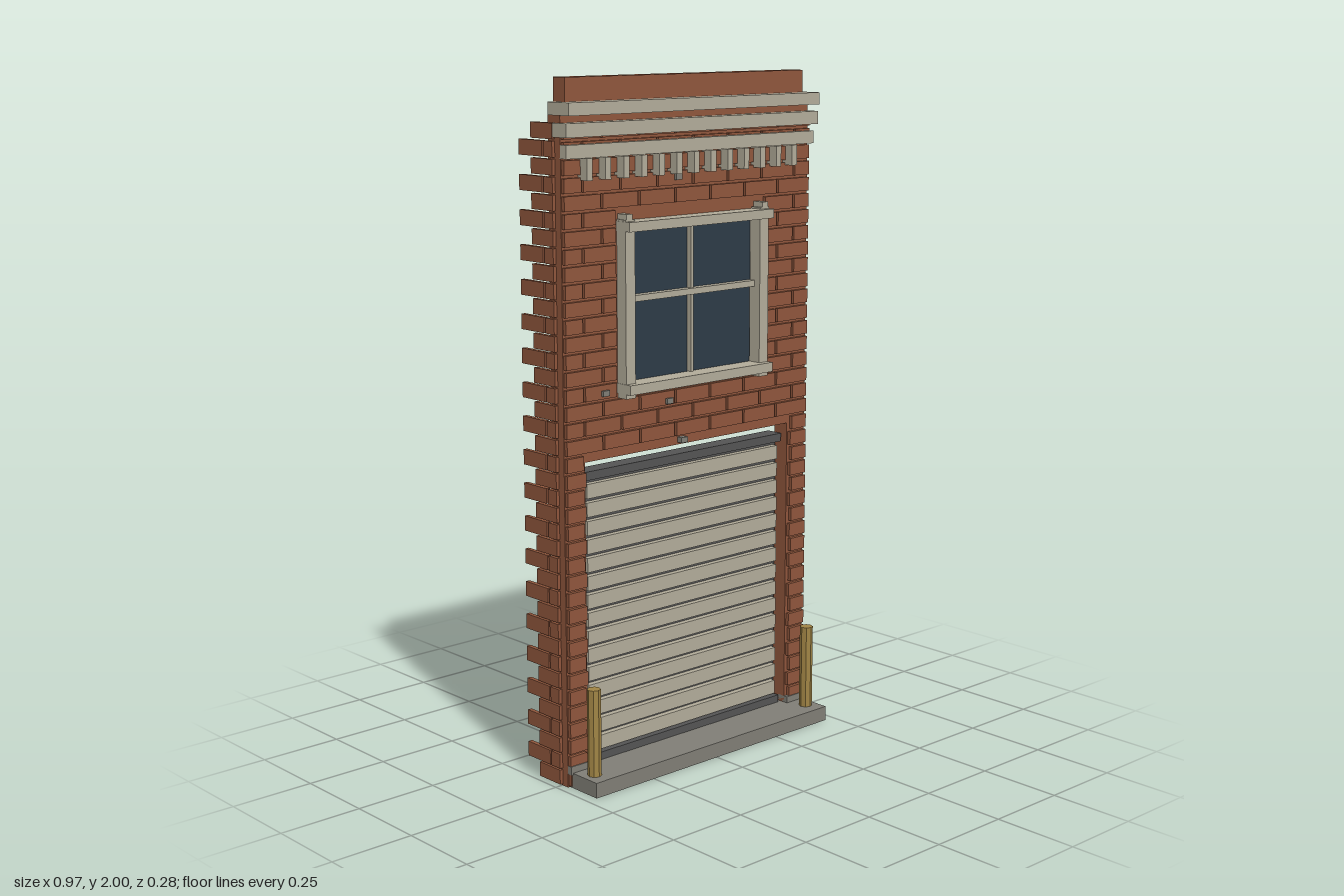
import * as THREE from 'three';
import { mergeGeometries } from 'three/addons/utils/BufferGeometryUtils.js';

const mat = (name, color) => {
  const m = new THREE.MeshStandardMaterial({ color });
  m.name = name;
  return m;
};

export function createModel() {
  const brick = mat('brick', 0x8f563c);
  const trim = mat('trim', 0xb2ac9a);
  const stone = mat('stone', 0x807e76);
  const steel = mat('steel', 0x545454);
  const glass = mat('glass', 0x2d3b47);
  const black = mat('black', 0x1c1c1c);
  const brass = mat('brass', 0xa08445);

  const model = new THREE.Group();
  model.name = 'shopFacade';

  // Box given by its two opposite corners
  const block = (x0, x1, y0, y1, z0, z1) =>
    new THREE.BoxGeometry(x1 - x0, y1 - y0, z1 - z0)
      .translate((x0 + x1) / 2, (y0 + y1) / 2, (z0 + z1) / 2);
  const add = (name, geometry, material) => {
    const mesh = new THREE.Mesh(geometry, material);
    mesh.name = name;
    model.add(mesh);
  };
  const box = (name, material, ...b) => add(name, block(...b), material);

  // Wall with door opening and window hole
  const outline = new THREE.Shape([
    [-0.475, 0], [-0.4, 0], [-0.4, 0.94], [0.4, 0.94],
    [0.4, 0], [0.475, 0], [0.475, 1.9], [-0.475, 1.9],
  ].map(([x, y]) => new THREE.Vector2(x, y)));
  outline.holes.push(new THREE.Path([
    [-0.25, 1.14], [-0.25, 1.59], [0.25, 1.59], [0.25, 1.14],
  ].map(([x, y]) => new THREE.Vector2(x, y))));
  add('wall', new THREE.ExtrudeGeometry(outline, { depth: 0.052, bevelEnabled: false })
    .translate(0, 0, -0.027), brick);
  box('parapet', brick, -0.455, 0.455, 1.88, 2, -0.027, 0.022);

  // Running bond on the front, cut around the door and window
  const pitch = 0.0482, rows = 39, joint = 0.008;
  const faceBricks = [], sideBricks = [];
  for (let i = 0; i < rows; i++) {
    const y0 = 0.005 + i * pitch, y1 = y0 + pitch - joint;
    let spans = [[-0.472, 0.472]];
    if (y0 < 0.94) spans = [[-0.472, -0.405], [0.405, 0.472]];
    else if (y1 > 1.11 && y0 < 1.61) spans = [[-0.472, -0.29], [0.29, 0.472]];
    for (const [a, b] of spans) {
      for (let x = -0.472 - (i % 2) * 0.068; x < 0.472; x += 0.136) {
        const x0 = Math.max(x, a), x1 = Math.min(x + 0.136 - joint, b);
        if (x1 - x0 > 0.015) faceBricks.push(block(x0, x1, Math.max(y0, 0.005), y1, 0.02, 0.036));
      }
    }
    // Toothed brick returns running back from both ends
    for (const s of [-1, 1]) {
      const xs = s > 0 ? [0.472, 0.485] : [-0.485, -0.472];
      const runs = i % 2 ? [[-0.036, 0.002], [-0.142, -0.042]] : [[-0.09, 0.002]];
      for (const [z0, z1] of runs) sideBricks.push(block(...xs, y0, y1 + 0.003, z0, z1));
    }
  }
  add('faceBricks', mergeGeometries(faceBricks), brick);
  add('sideBricks', mergeGeometries(sideBricks), brick);

  // Cornice bands and dentils
  box('corniceTop', trim, -0.48, 0.48, 1.9, 1.935, -0.02, 0.068);
  box('corniceMiddle', trim, -0.483, 0.483, 1.842, 1.88, 0, 0.06);
  box('corniceLower', trim, -0.475, 0.475, 1.785, 1.822, 0, 0.05);
  const dentils = [];
  for (let i = 0; i < 13; i++) {
    const x = -0.405 + i * 0.0655;
    dentils.push(block(x - 0.01, x + 0.01, 1.725, 1.785, 0.02, 0.064));
  }
  add('dentils', mergeGeometries(dentils), trim);

  // Window
  box('windowGlass', glass, -0.25, 0.25, 1.14, 1.59, 0.008, 0.016);
  box('windowHead', trim, -0.28, 0.28, 1.578, 1.605, 0.02, 0.082);
  box('windowSill', trim, -0.28, 0.28, 1.122, 1.15, 0.02, 0.082);
  for (const s of [-1, 1]) {
    const span = (a, b) => s > 0 ? [a, b] : [-b, -a];
    box('windowJamb', trim, ...span(0.243, 0.278), 1.108, 1.61, 0.02, 0.062);
    box('windowLug', trim, ...span(0.252, 0.274), 1.605, 1.625, 0.02, 0.062);
  }
  box('windowCrossbar', trim, -0.245, 0.245, 1.376, 1.394, 0.014, 0.04);
  box('windowMullion', trim, -0.005, 0.005, 1.15, 1.58, 0.014, 0.032);
  box('windowBacking', black, -0.263, 0.263, 1.125, 1.605, -0.042, -0.026);

  // Roller shutter
  box('shutterPanel', steel, -0.388, 0.388, 0.03, 0.908, -0.042, -0.012);
  const slats = [];
  for (let i = 0; i < 15; i++) {
    const y = 0.075 + i * 0.0538;
    slats.push(block(-0.378, 0.378, y, y + 0.042, -0.015, 0.006));
  }
  add('shutterSlats', mergeGeometries(slats), trim);
  box('shutterHeadRail', steel, -0.388, 0.388, 0.883, 0.908, -0.015, 0.012);
  box('shutterFootRail', steel, -0.388, 0.388, 0.042, 0.068, -0.015, 0.012);

  // Step and its raised ends
  box('step', stone, -0.467, 0.467, 0, 0.045, -0.005, 0.142);
  for (const s of [-1, 1])
    box('stepEnd', stone, s * 0.437 - 0.037, s * 0.437 + 0.037, 0.04, 0.065, 0, 0.039);

  // Bollards
  for (const s of [-1, 1]) {
    const geo = new THREE.CylinderGeometry(0.02, 0.02, 0.26, 8).toNonIndexed();
    geo.computeVertexNormals();
    add('bollard', geo.translate(s * 0.43, 0.172, 0.09), brass);
  }

  // Small chips standing out of the brickwork
  for (const [x, y] of [[-0.335, 1.13], [-0.095, 1.077], [-0.04, 0.955], [-0.06, 1.715]])
    box('wallChip', stone, x - 0.012, x + 0.012, y - 0.008, y + 0.008, 0.02, 0.044);

  return model;
}
